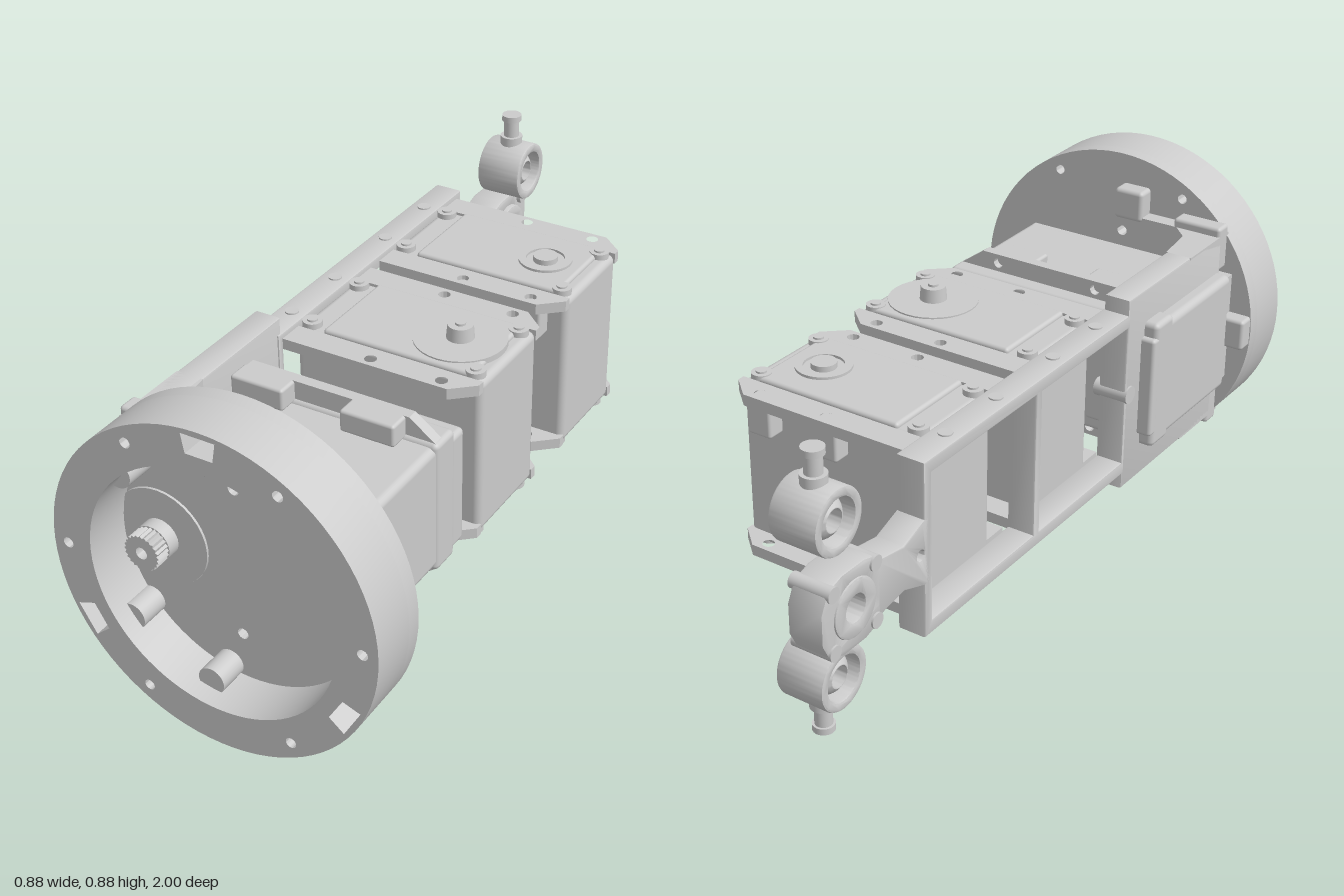
import * as THREE from 'three';
import { toCreasedNormals } from 'three/addons/utils/BufferGeometryUtils.js';
import { RoundedBoxGeometry } from 'three/addons/geometries/RoundedBoxGeometry.js';

const mat = new THREE.MeshStandardMaterial({ color: 0xcccccc });
const CY = 0.445; // height of the main axis

function add(parent, name, geo, x = 0, y = 0, z = 0) {
  const m = new THREE.Mesh(geo, mat);
  m.name = name;
  m.position.set(x, y, z);
  parent.add(m);
  return m;
}

// Box given by its limits on each axis
function box(parent, name, x0, x1, y0, y1, z0, z1, r = 0) {
  const s = [x1 - x0, y1 - y0, z1 - z0];
  const geo = r ? new RoundedBoxGeometry(...s, 3, r) : new THREE.BoxGeometry(...s);
  return add(parent, name, geo, (x0 + x1) / 2, (y0 + y1) / 2, (z0 + z1) / 2);
}

// Cylinder along an axis, from a to b
function rod(parent, name, axis, r, a, b, p, q, r2 = r) {
  const geo = new THREE.CylinderGeometry(r2, r, b - a, 32);
  const c = (a + b) / 2;
  if (axis === 'x') return add(parent, name, geo.rotateZ(-Math.PI / 2), c, p, q);
  if (axis === 'z') return add(parent, name, geo.rotateX(Math.PI / 2), p, q, c);
  return add(parent, name, geo, p, c, q);
}

const circle = (x, y, r) => new THREE.Path().absarc(x, y, r, 0, Math.PI * 2, true);
const disc = (x, y, r) => new THREE.Shape().absarc(x, y, r, 0, Math.PI * 2, false);
const poly = (pts, C = THREE.Path) => new C(pts.map(p => new THREE.Vector2(...p)));
const rect = (x0, x1, y0, y1, C) => poly([[x0, y0], [x1, y0], [x1, y1], [x0, y1]], C);

function extrude(shape, holes, depth, bevel = 0) {
  shape.holes.push(...holes);
  const geo = new THREE.ExtrudeGeometry(shape, {
    depth: depth - 2 * bevel, curveSegments: 40, bevelEnabled: bevel > 0,
    bevelSize: bevel, bevelOffset: -bevel, bevelThickness: bevel, bevelSegments: 2
  }).translate(0, 0, bevel);
  return toCreasedNormals(geo, 0.6);
}

// Plate drawn in (-z, y) and given thickness along x
function sidePlate(parent, name, shape, holes, x0, x1, bevel) {
  return add(parent, name, extrude(shape, holes, x1 - x0, bevel).rotateY(Math.PI / 2), x0);
}

// Large cup at the front
function buildCup() {
  const g = new THREE.Group();
  g.name = 'frontCup';
  const screws = () => Array.from({ length: 6 }, (_, i) =>
    circle(0.4 * Math.cos(i * Math.PI / 3), 0.4 * Math.sin(i * Math.PI / 3), 0.014));
  const slots = [90, 210, 330].map(d => {
    const a = d * Math.PI / 180, c = Math.cos(a), s = Math.sin(a);
    return poly([[0.375, -0.036], [0.375, 0.036], [0.425, 0.045], [0.425, -0.045]]
      .map(([r, t]) => [r * c - t * s, r * s + t * c]));
  });
  add(g, 'cupFloor', extrude(disc(0, 0, 0.44), [circle(-0.228, 0, 0.132),
    circle(-0.013, 0.207, 0.015), circle(-0.013, -0.207, 0.015), ...screws()], 0.04), 0, CY, 0.83);
  add(g, 'cupRim', extrude(disc(0, 0, 0.44), [circle(0, 0, 0.335), ...screws(), ...slots], 0.13), 0, CY, 0.87);
  for (const s of [-1, 1]) {
    rod(g, 'innerBoss', 'z', 0.036, 0.865, 0.95, -0.055, CY + s * 0.31);
    rod(g, 'innerBoss', 'z', 0.036, 0.865, 0.95, -0.275, CY + s * 0.205);
    box(g, 'rearBoss', -0.1, -0.01, CY + s * 0.31 - 0.045, CY + s * 0.31 + 0.045, 0.78, 0.84, 0.012);
  }
  box(g, 'sideBoss', -0.437, -0.36, 0.4, 0.49, 0.785, 0.84, 0.01);
  return g;
}

// Large actuator behind the cup, shaft pointing forward
function buildMainServo() {
  const g = new THREE.Group();
  g.name = 'mainServo';
  box(g, 'mainBody', -0.385, 0.275, 0.27, 0.62, 0.44, 0.8, 0.02);
  box(g, 'mainFace', -0.37, 0.28, 0.285, 0.605, 0.775, 0.835);
  box(g, 'mainRear', -0.385, 0.28, 0.26, 0.63, 0.38, 0.47, 0.015);
  box(g, 'gearHousing', -0.04, 0.28, 0.28, 0.61, 0.335, 0.4, 0.015);
  box(g, 'rearCover', -0.385, -0.18, 0.3, 0.59, 0.365, 0.4, 0.01);
  const pts = [[-0.26, -0.235], [0.2, -0.235], [0.275, -0.18], [0.275, 0.18], [0.2, 0.235], [-0.26, 0.235]];
  add(g, 'mainFlange', extrude(poly(pts, THREE.Shape),
    [-1, 1].flatMap(s => [circle(-0.16, s * 0.21, 0.014), circle(0.15, s * 0.21, 0.014)]), 0.03), 0, CY, 0.43);
  for (const s of [-1, 1]) for (const x of [-0.22, 0.09])
    box(g, 'flangeLug', x - 0.05, x + 0.1, CY + s * 0.205 - 0.03, CY + s * 0.205 + 0.03, 0.45, 0.515, 0.008);
  rod(g, 'outputHousing', 'z', 0.131, 0.79, 0.875, -0.228, CY);
  rod(g, 'outputCollar', 'z', 0.05, 0.87, 0.91, -0.228, CY);
  // Toothed output shaft
  const teeth = Array.from({ length: 48 }, (_, i) => {
    const a = i * Math.PI / 24, r = i % 2 ? 0.044 : 0.049;
    return [r * Math.cos(a), r * Math.sin(a)];
  });
  add(g, 'outputSpline', extrude(poly(teeth, THREE.Shape), [circle(0, 0, 0.016)], 0.04), -0.228, CY, 0.91);
  return g;
}

// Small actuator, centred on its own middle, horn upward
function buildServo() {
  const g = new THREE.Group();
  g.name = 'servo';
  box(g, 'servoBody', -0.265, 0.27, -0.225, 0.225, -0.145, 0.145, 0.02);
  for (const s of [-1, 1]) {
    const y = s * 0.225;
    box(g, 'servoCover', -0.19, 0.235, y - 0.012, y + 0.012, -0.135, 0.135, 0.01);
    // Flange strips with cut corners
    for (const t of [-1, 1]) {
      const strip = poly([[-0.26, 0], [0.27, 0], [0.27, 0.02], [0.21, 0.073], [-0.26, 0.073]]
        .map(([x, z]) => [x, t * (z + 0.138)]), THREE.Shape);
      const geo = extrude(strip, [-0.02, 0.18].map(x => circle(x, t * 0.183, 0.016)), 0.03);
      add(g, 'servoFlange', geo.rotateX(-Math.PI / 2), 0, s * 0.213 - 0.015);
      for (const x of [-0.235, 0.235]) {
        rod(g, 'cornerScrew', 'y', 0.026, y - 0.015, y + 0.015, x, t * 0.112);
        rod(g, 'screwHead', 'y', 0.014, y - 0.02, y + 0.02, x, t * 0.112);
      }
    }
  }
  for (const t of [-1, 1]) for (const x of [-0.02, 0.18])
    box(g, 'flangeLug', x - 0.035, x + 0.035, -0.215, -0.115, t * 0.17 - 0.026, t * 0.17 + 0.026, 0.008);
  rod(g, 'hornDisc', 'y', 0.12, 0.22, 0.241, 0.13, 0);
  rod(g, 'hornHub', 'y', 0.037, 0.23, 0.278, 0.13, 0, 0.033);
  rod(g, 'hornScrew', 'y', 0.014, 0.27, 0.284, 0.13, 0);
  // Idler side
  const idler = extrude(disc(0, 0, 0.072), [circle(0, 0, 0.052)], 0.014).rotateX(Math.PI / 2);
  add(g, 'idlerRing', idler, 0.13, -0.23, 0);
  rod(g, 'idlerShaft', 'y', 0.033, -0.252, -0.22, 0.13, 0);
  return g;
}

// Side frame holding all actuators
function buildFrame() {
  const g = new THREE.Group();
  g.name = 'sideFrame';
  sidePlate(g, 'rearFrame', rect(-0.31, 0.62, 0.208, 0.682, THREE.Shape),
    [rect(-0.29, 0.122, 0.245, 0.645), rect(0.15, 0.59, 0.245, 0.645)], -0.345, -0.265, 0.006);
  sidePlate(g, 'frontFrame', rect(-0.8, -0.292, 0.165, 0.725, THREE.Shape),
    [rect(-0.79, -0.325, 0.205, 0.685)], -0.345, -0.27, 0.006);
  rod(g, 'wallPin', 'x', 0.025, -0.35, -0.25, CY, 0.31);
  // Screws along the rails
  for (const y of [0.21, 0.68]) for (const z of [-0.48, -0.27, -0.015, 0.19])
    rod(g, 'railScrew', 'y', 0.018, y - 0.006, y + 0.006, -0.305, z);
  // Flared feet on the back of the cup
  for (const s of [-1, 1]) {
    const foot = poly([[-0.345, -0.84], [-0.345, -0.62], [-0.27, -0.62], [-0.255, -0.74],
      [-0.21, -0.785], [-0.1, -0.785], [-0.1, -0.84]].reverse(), THREE.Shape);
    add(g, 'frameFoot', extrude(foot, [], 0.04).rotateX(-Math.PI / 2), 0, CY + s * 0.26 - 0.02);
    box(g, 'footPad', -0.345, -0.2, CY + s * 0.24 - 0.065, CY + s * 0.24 + 0.065, 0.785, 0.84, 0.01);
  }
  return g;
}

// Rear arm with hub and two ball-end rods
function buildTail() {
  const g = new THREE.Group();
  g.name = 'rearArm';
  const arm = poly([[0.6, 0.35], [0.63, 0.36], [0.7, 0.385], [0.8, 0.37], [0.8, 0.52],
    [0.7, 0.505], [0.63, 0.53], [0.6, 0.54]], THREE.Shape);
  sidePlate(g, 'armPlate', arm, [circle(0.635, CY, 0.014)], -0.345, -0.265, 0.005);
  const hub = poly([[-0.105, -0.04], [-0.09, -0.09], [-0.04, -0.105], [0.04, -0.105], [0.09, -0.09], [0.115, -0.04],
    [0.115, 0.04], [0.09, 0.09], [0.04, 0.105], [-0.04, 0.105], [-0.09, 0.09], [-0.105, 0.04]]
    .map(([u, y]) => [u + 0.885, y + CY]), THREE.Shape);
  sidePlate(g, 'armHub', hub, [circle(0.885, CY, 0.055)], -0.345, -0.25, 0.006);
  sidePlate(g, 'hubBearing', disc(0.885, CY, 0.075), [circle(0.885, CY, 0.034)], -0.35, -0.235, 0.006);
  for (const a of [1, 3, 5, 7].map(k => k * Math.PI / 4))
    rod(g, 'hubScrew', 'x', 0.02, -0.35, -0.238, CY + 0.108 * Math.sin(a), -0.885 + 0.108 * Math.cos(a));
  for (const s of [-1, 1]) {
    const y = CY + s * 0.207;
    sidePlate(g, 'rodEnd', disc(0.885, y, 0.083), [circle(0.885, y, 0.058)], -0.31, -0.178, 0.006);
    // Pierced ball in the eye
    const ball = Array.from({ length: 13 }, (_, i) => {
      const a = -1.05 + 2.1 * i / 12;
      return new THREE.Vector2(0.06 * Math.cos(a), 0.06 * Math.sin(a));
    });
    const ends = [new THREE.Vector2(0.028, 0.052), new THREE.Vector2(0.028, -0.052), ball[0]];
    add(g, 'rodBall', toCreasedNormals(new THREE.LatheGeometry([...ball, ...ends], 32), 0.6)
      .rotateZ(Math.PI / 2), -0.244, y, -0.885);
    const pin = (r, a, b) => rod(g, 'rodPin', 'y', r, CY + Math.min(s * a, s * b), CY + Math.max(s * a, s * b), -0.244, -0.885);
    pin(0.032, 0.275, 0.31);
    pin(0.022, 0.3, 0.365);
    pin(0.028, 0.358, 0.375);
  }
  return g;
}

export function createModel() {
  const model = new THREE.Group();
  model.name = 'actuatorAssembly';
  const middle = buildServo(), rear = buildServo();
  middle.name = 'middleServo';
  middle.position.set(0, CY, 0.09);
  rear.name = 'rearServo';
  rear.position.set(0, CY, -0.375);
  rear.rotation.x = Math.PI;
  model.add(buildCup(), buildMainServo(), middle, rear, buildFrame(), buildTail());
  return model;
}
